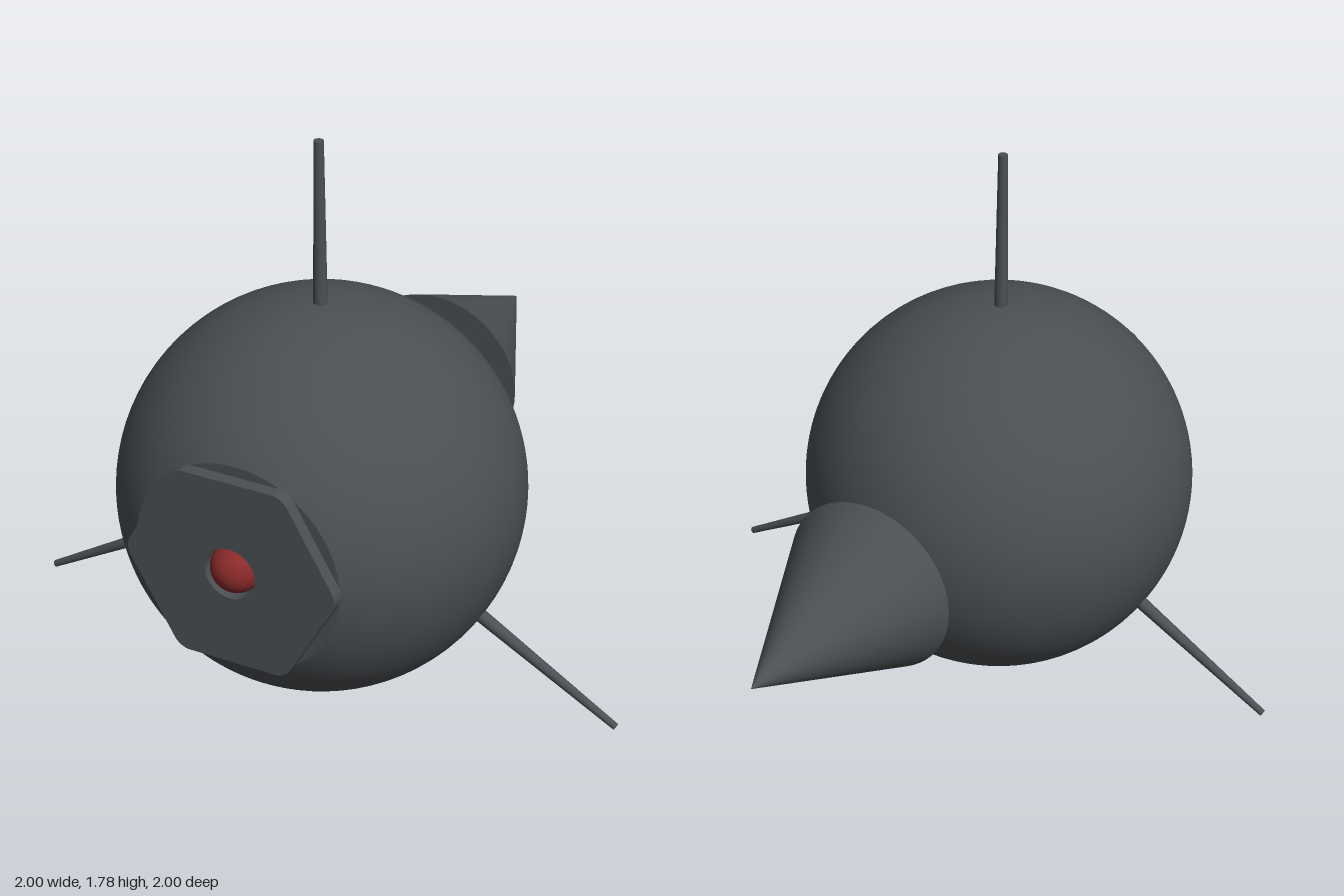
import * as THREE from 'three';

const CY = 0.628, CZ = 0.397, R = 0.627;

function material(name, color) {
  const m = new THREE.MeshStandardMaterial({ color });
  m.name = name;
  return m;
}

export function createModel() {
  const group = new THREE.Group();
  const steel = material('dark steel', 0x4b4f53);
  const red = material('lens red', 0x8b2b2b);

  function add(name, geometry, mat, x, y, z) {
    const mesh = new THREE.Mesh(geometry, mat);
    mesh.name = name;
    mesh.position.set(x, y, z);
    group.add(mesh);
    return mesh;
  }

  // Spherical hull, its front cut off where the plate sits
  const cut = Math.acos(0.527 / R);
  const hull = new THREE.SphereGeometry(R, 96, 64, 0, Math.PI * 2, cut, Math.PI - cut);
  hull.rotateX(Math.PI / 2);
  add('hull', hull, steel, 0, CY, CZ);
  const rim = R * Math.sin(cut);
  add('hullFrontFace', new THREE.RingGeometry(0.07, rim, 96), steel, 0, CY, CZ + 0.527);

  // Hexagonal front plate with rounded corners and a round opening
  const shape = new THREE.Shape();
  const circum = 0.307 / Math.cos(Math.PI / 6), round = 0.06;
  for (let i = 0; i < 6; i++) {
    const a = i * Math.PI / 3;
    const d = circum - round / Math.cos(Math.PI / 6);
    shape.absarc(d * Math.cos(a), d * Math.sin(a), round, a - Math.PI / 6, a + Math.PI / 6, false);
  }
  shape.closePath();
  const opening = new THREE.Path();
  opening.absarc(0, 0, 0.084, 0, Math.PI * 2, true);
  shape.holes.push(opening);
  const plate = new THREE.ExtrudeGeometry(shape, { depth: 0.045, bevelEnabled: false, curveSegments: 16 });
  add('frontPlate', plate, steel, 0, CY, 0.92);

  // Red lens set in the opening
  add('lens', new THREE.SphereGeometry(0.08, 32, 24), red, 0, CY + 0.004, 0.92);

  // Three tapering antennae, 120 degrees apart
  [['topAntenna', 0, 0.015], ['leftAntenna', -1, 0.011], ['rightAntenna', 1, 0.011]].forEach(([name, k, tip]) => {
    const a = k * Math.PI * 2 / 3;
    const start = 0.58, end = 1.15, mid = (start + end) / 2;
    const antenna = add(name, new THREE.CylinderGeometry(tip, 0.022, end - start, 24), steel,
      -Math.sin(a) * mid, CY + Math.cos(a) * mid, CZ);
    antenna.rotation.z = a;
  });

  // Detached cone pointing backwards
  const cone = new THREE.ConeGeometry(0.288, 0.63, 64);
  cone.rotateX(-Math.PI / 2);
  add('tailCone', cone, steel, 0, CY + 0.004, -0.685);

  return group;
}
